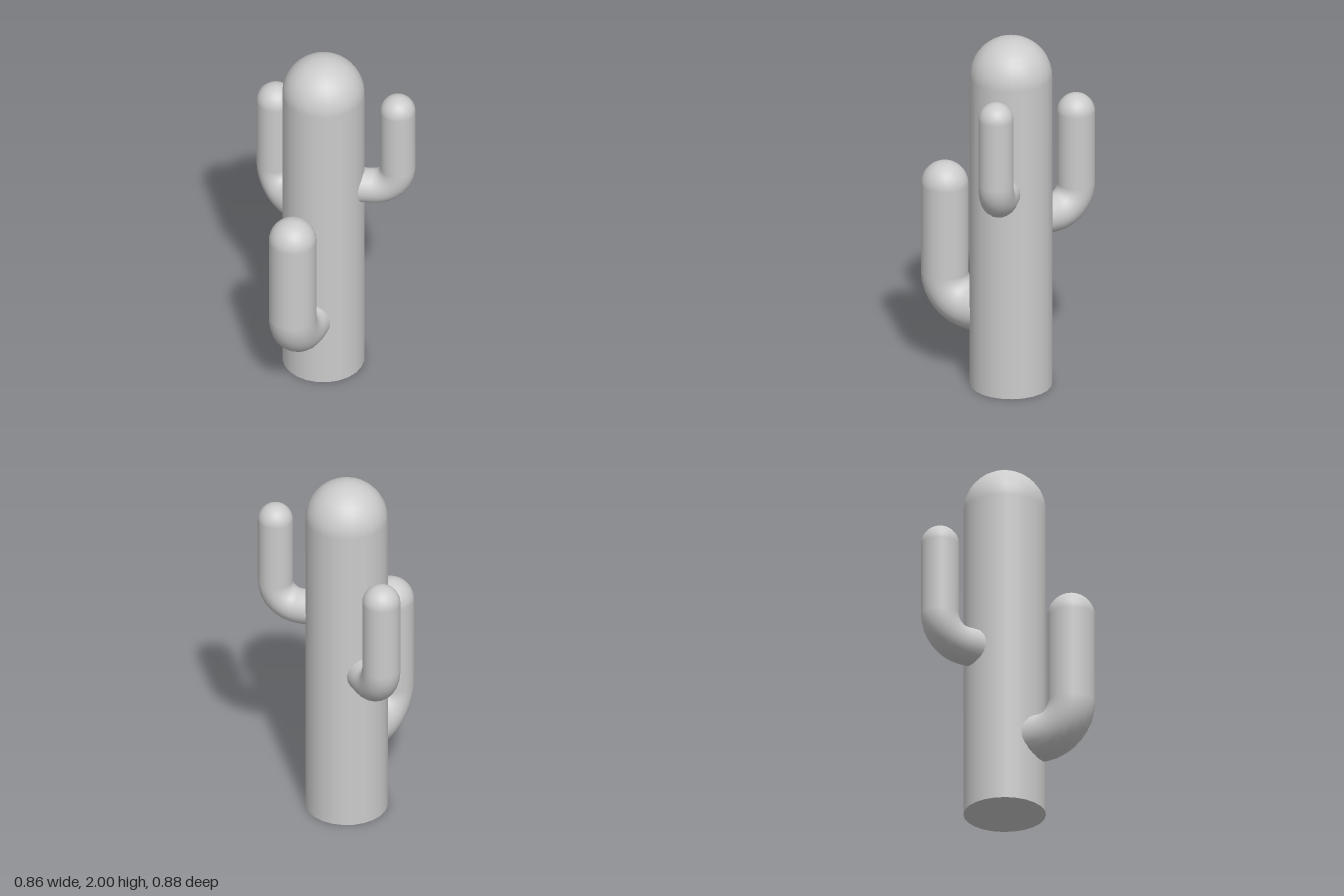
import * as THREE from 'three';

const material = new THREE.MeshStandardMaterial({ color: 0xcccccc });
const SIDES = 24;

function addMesh(parent, name, geometry) {
  const mesh = new THREE.Mesh(geometry, material);
  mesh.name = name;
  parent.add(mesh);
  return mesh;
}

// Upright column with a hemispherical top
function addDomedColumn(parent, name, x, z, radius, bottom, top) {
  const group = new THREE.Group();
  group.name = name;
  group.position.set(x, 0, z);
  const shoulder = top - radius;
  addMesh(group, name + 'Shaft', new THREE.CylinderGeometry(radius, radius, shoulder - bottom, SIDES, 1, true))
    .position.y = (shoulder + bottom) / 2;
  addMesh(group, name + 'Dome', new THREE.SphereGeometry(radius, SIDES, 10, 0, Math.PI * 2, 0, Math.PI / 2))
    .position.y = shoulder;
  parent.add(group);
  return group;
}

// Arm leaving the trunk sideways, then bending upright; built along +x and turned about y
function addArm(parent, { name, from, to, radius, height, bend, top }) {
  const arm = new THREE.Group();
  arm.name = name;
  const dx = to[0] - from[0], dz = to[1] - from[1];
  const reach = Math.hypot(dx, dz);
  const run = reach - bend;
  arm.position.set(from[0], 0, from[1]);
  arm.rotation.y = Math.atan2(-dz, dx);

  const stub = new THREE.CylinderGeometry(radius, radius, run, SIDES, 1, true);
  stub.rotateZ(-Math.PI / 2);
  addMesh(arm, name + 'Stub', stub).position.set(run / 2, height, 0);

  const elbow = new THREE.TorusGeometry(bend, radius, SIDES, 8, Math.PI / 2);
  elbow.rotateZ(-Math.PI / 2);
  addMesh(arm, name + 'Elbow', elbow).position.set(run, height + bend, 0);

  addDomedColumn(arm, name + 'Upright', reach, 0, radius, height + bend, top);
  parent.add(arm);
}

export function createModel() {
  const cactus = new THREE.Group();
  cactus.name = 'cactus';

  // Trunk with closed base
  const trunk = addDomedColumn(cactus, 'trunk', 0.045, 0.073, 0.22, 0, 2);
  const base = new THREE.CircleGeometry(0.22, SIDES);
  base.rotateX(Math.PI / 2);
  addMesh(trunk, 'trunkBase', base);

  // Three arms of different size and height
  const arms = [
    { name: 'rightArm', from: [0.045, 0.06], to: [-0.305, 0.272], radius: 0.127, height: 0.397, bend: 0.17, top: 1.2 },
    { name: 'leftArm', from: [0.045, 0.08], to: [0.336, 0.346], radius: 0.094, height: 1.184, bend: 0.135, top: 1.79 },
    { name: 'backArm', from: [0.033, 0.073], to: [0.033, -0.34], radius: 0.102, height: 0.922, bend: 0.145, top: 1.58 },
  ];
  arms.forEach((arm) => addArm(cactus, arm));
  return cactus;
}
